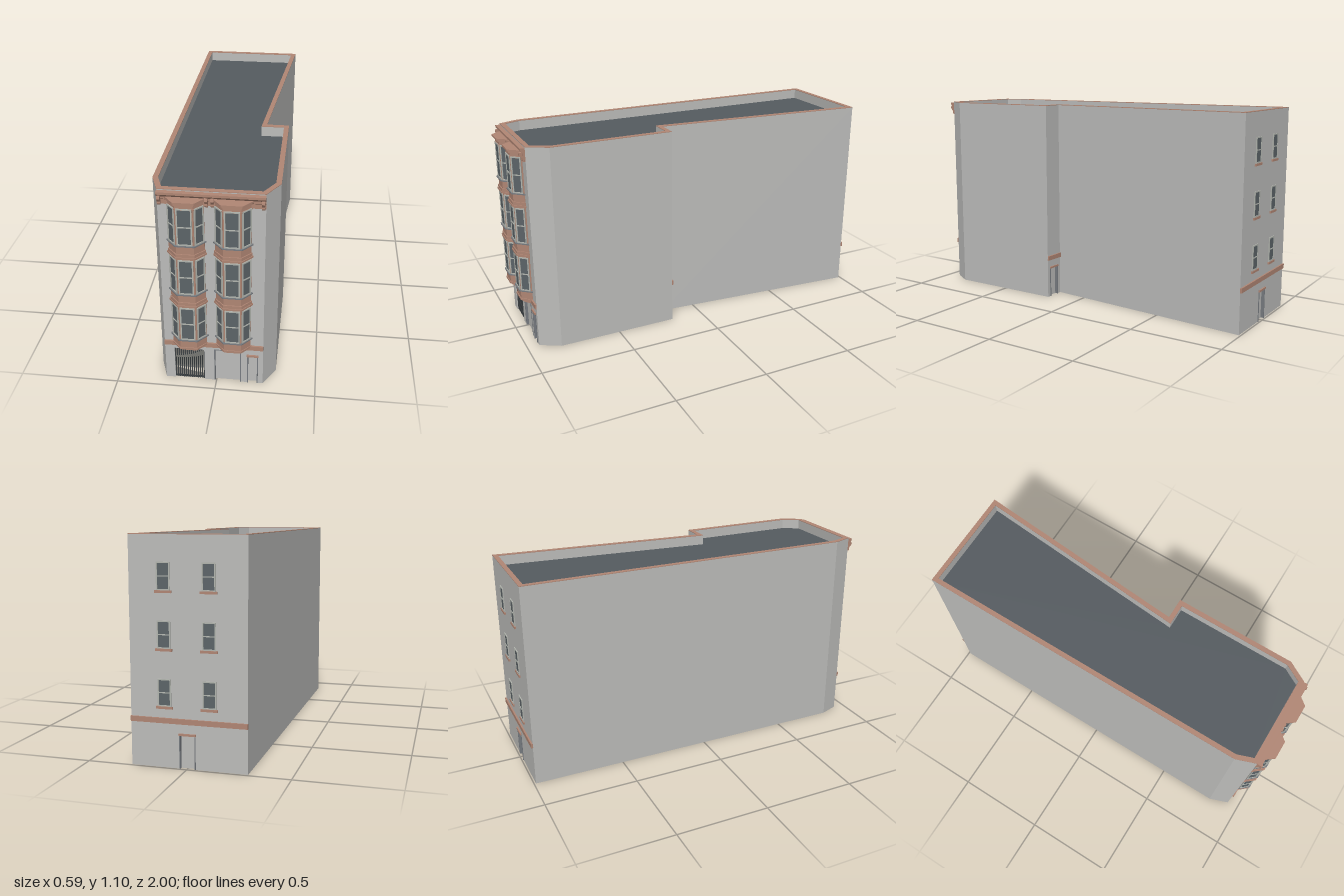
import * as THREE from 'three';

const mat = (name, color, side = THREE.FrontSide) => {
  const m = new THREE.MeshStandardMaterial({ color, side });
  m.name = name;
  return m;
};

export function createModel() {
  const wallMat = mat('pale stone', 0xbcbcba);
  const clay = mat('terracotta', 0xb08674);
  const glassMat = mat('window glass', 0x5c6468);
  const roofMat = mat('slate roof', 0x555b60);
  const trim = mat('window trim', 0xb2b5ae);
  const iron = mat('dark iron', 0x3c4144);
  const jambMat = mat('grey jamb', 0x777b80);

  const model = new THREE.Group();
  model.name = 'cornerTownhouse';
  const H = 1.095, T = 0.025, CAP = 0.003;

  const add = (parent, name, geometry, material) => {
    const m = new THREE.Mesh(geometry, material);
    m.name = name;
    parent.add(m);
    return m;
  };
  // box given by its minimum and maximum corners
  const box = (parent, name, material, x0, x1, y0, y1, z0, z1) => {
    const m = add(parent, name, new THREE.BoxGeometry(x1 - x0, y1 - y0, z1 - z0), material);
    m.position.set((x0 + x1) / 2, (y0 + y1) / 2, (z0 + z1) / 2);
    return m;
  };
  // horizontal slab from [x, z] points
  const planShape = pts => new THREE.Shape(pts.map(([x, z]) => new THREE.Vector2(x, -z)));
  const slab = (shape, y0, y1) => new THREE.ExtrudeGeometry(shape, { depth: y1 - y0, bevelEnabled: false })
    .rotateX(-Math.PI / 2).translate(0, y0, 0);
  // group whose local x runs from a to b and whose local z points outward
  const faceGroup = (parent, name, a, b) => {
    const g = new THREE.Group();
    g.name = name;
    g.position.set(a[0], 0, a[1]);
    g.rotation.y = Math.atan2(a[1] - b[1], b[0] - a[0]);
    parent.add(g);
    return g;
  };
  const rectPath = (x0, x1, y0, y1) => [[x0, y0], [x1, y0], [x1, y1], [x0, y1]].map(p => new THREE.Vector2(...p));

  // two-sash window on a face
  function sashWindow(face, cx, y0, w, h, b) {
    const g = new THREE.Group();
    g.name = 'sashWindow';
    g.position.set(cx, y0, 0);
    face.add(g);
    box(g, 'glass', glassMat, -w / 2 + 0.002, w / 2 - 0.002, 0.002, h - 0.002, -0.001, 0.002);
    const frame = new THREE.Shape(rectPath(-w / 2, w / 2, 0, h));
    frame.holes.push(new THREE.Path(rectPath(-w / 2 + b, w / 2 - b, b, h / 2 - b * 0.4)));
    frame.holes.push(new THREE.Path(rectPath(-w / 2 + b, w / 2 - b, h / 2 + b * 0.4, h - b)));
    add(g, 'sashFrame', new THREE.ExtrudeGeometry(frame, { depth: 0.005, bevelEnabled: false }), trim);
  }

  // panelled entrance set inside an opening, with a small hood
  function entrance(face, x0, x1, h) {
    const g = new THREE.Group();
    g.name = 'entrance';
    face.add(g);
    box(g, 'doorLeaf', wallMat, x0, x1, 0, h, -0.02, -0.014);
    box(g, 'leftJamb', jambMat, x0, x0 + 0.005, 0, h, -0.014, 0.003);
    box(g, 'rightJamb', jambMat, x1 - 0.005, x1, 0, h, -0.014, 0.003);
    box(g, 'hood', clay, x0 - 0.002, x1 + 0.002, h - 0.01, h, -0.014, 0.008);
  }

  // footprint, each wall running left to right seen from outside
  const P = [[-0.257, 0.935], [0.235, 0.935], [0.295, 0.83], [0.295, 0.18],
    [0.18, 0.18], [0.278, -0.99], [-0.295, -0.99], [-0.295, 0.83]];
  const N = P.length;
  const dirs = P.map((a, i) => {
    const b = P[(i + 1) % N], l = Math.hypot(b[0] - a[0], b[1] - a[1]);
    return [(b[0] - a[0]) / l, (b[1] - a[1]) / l, l];
  });
  const inset = t => P.map((p, i) => {
    const d = dirs[i], e = dirs[(i + N - 1) % N];
    const k = t / (1 + d[0] * e[0] + d[1] * e[1]);
    return [p[0] + k * (d[1] + e[1]), p[1] - k * (d[0] + e[0])];
  });
  const inner = inset(T);

  // mitred walls with doorway notches [start, end, height]
  const names = ['frontWall', 'leftChamfer', 'leftWall', 'stepWall', 'leftRearWall', 'backWall', 'rightWall', 'rightChamfer'];
  const notches = {
    0: [[0.047, 0.197, 0.19], [0.247, 0.382, 0.197], [0.412, 0.467, 0.18]],
    3: [[0.02, 0.09, 0.175]],
    5: [[0.24, 0.32, 0.17]],
  };
  const faces = P.map((a, i) => {
    const [ux, uz, L] = dirs[i], j = (i + 1) % N;
    const g = faceGroup(model, names[i], a, P[j]);
    const pts = [[0, 0]];
    for (const [s, e, h] of notches[i] || []) pts.push([s, 0], [s, h], [e, h], [e, 0]);
    pts.push([L, 0], [L, H - CAP], [0, H - CAP]);
    const geo = new THREE.ExtrudeGeometry(new THREE.Shape(pts.map(p => new THREE.Vector2(...p))),
      { depth: T, bevelEnabled: false }).translate(0, 0, -T);
    const m0 = (inner[i][0] - a[0]) * ux + (inner[i][1] - a[1]) * uz;
    const m1 = (inner[j][0] - P[j][0]) * ux + (inner[j][1] - P[j][1]) * uz;
    const pos = geo.attributes.position;
    for (let k = 0; k < pos.count; k++) {
      if (pos.getZ(k) > -T / 2) continue;
      const x = pos.getX(k);
      if (x < 1e-5) pos.setX(k, x + m0);
      else if (x > L - 1e-5) pos.setX(k, x + m1);
    }
    geo.computeVertexNormals();
    add(g, names[i] + 'Panel', geo, wallMat);
    return g;
  });

  // roof and parapet coping
  const coping = planShape(P);
  coping.holes.push(new THREE.Path(inner.map(([x, z]) => new THREE.Vector2(x, -z))));
  add(model, 'parapetCoping', slab(coping, H - CAP, H), clay);
  add(model, 'roof', slab(planShape(inset(T - 0.003)), 1.035, 1.04), roofMat);

  // string courses on the front, step and back walls
  for (const i of [0, 3, 5]) box(faces[i], 'stringCourse', clay, 0, dirs[i][2], 0.215, 0.24, -0.002, 0.0085);

  // ground floor of the front: barred gate, garage door, entrance
  const front = faces[0];
  const BARS = 15;
  for (let i = 0; i < BARS; i++) {
    const x = 0.05 + i * 0.144 / (BARS - 1);
    box(front, 'gateBar', iron, x - 0.0028, x + 0.0028, 0, 0.19, -0.014, -0.006);
  }
  for (const y of [0.004, 0.184]) box(front, 'gateRail', iron, 0.047, 0.197, y - 0.003, y + 0.003, -0.016, -0.008);
  box(front, 'garageDoor', wallMat, 0.247, 0.382, 0, 0.197, -0.02, -0.012);
  for (const x of [0.247, 0.377]) box(front, 'garageJamb', jambMat, x, x + 0.005, 0, 0.197, -0.012, 0.002);
  box(front, 'garageLintel', jambMat, 0.247, 0.382, 0.194, 0.198, -0.012, 0.002);
  entrance(front, 0.412, 0.467, 0.18);
  entrance(faces[3], 0.02, 0.09, 0.175);
  entrance(faces[5], 0.24, 0.32, 0.17);

  // back windows
  for (const u of [0.17, 0.39]) {
    for (const y of [0.295, 0.568, 0.838]) {
      sashWindow(faces[5], u, y, 0.066, 0.13, 0.006);
      box(faces[5], 'windowSill', clay, u - 0.041, u + 0.041, y - 0.012, y, -0.001, 0.008);
    }
  }

  // main cornice, a profile [out, y] run along the front
  const profile = [[-0.002, 1.022], [0.006, 1.022], [0.006, 1.045], [0.011, 1.05], [0.011, 1.062],
    [0.02, 1.072], [0.024, 1.076], [0.024, 1.088], [-0.002, 1.088]];
  const extrudeProfile = (pts, x0, x1) => new THREE.ExtrudeGeometry(
    new THREE.Shape(pts.map(([z, y]) => new THREE.Vector2(-z, y))), { depth: x1 - x0, bevelEnabled: false })
    .rotateY(Math.PI / 2).translate(x0, 0, 0);
  add(front, 'cornice', extrudeProfile(profile, 0, dirs[0][2]), clay);
  const bracket = [[0, 1.018], [0.01, 1.018], [0.015, 1.026], [0.014, 1.036], [0.024, 1.046],
    [0.03, 1.056], [0.028, 1.066], [0, 1.068]];
  for (const u of [0.004, 0.218, 0.246, 0.474]) add(front, 'corniceBracket', extrudeProfile(bracket, u, u + 0.014), clay);

  // bay windows
  const bayPlan = o => [[-0.084 - o, 0.93], [-0.084 - o, 0.938], [-0.041 - o * 0.5, 0.985 + o],
    [0.041 + o * 0.5, 0.985 + o], [0.084 + o, 0.938], [0.084 + o, 0.93]];
  function bay(cx) {
    const g = new THREE.Group();
    g.name = 'bayWindow';
    g.position.x = cx;
    model.add(g);
    const layer = (name, y0, y1, o, m = clay) => add(g, name, slab(planShape(bayPlan(o)), y0, y1), m);
    layer('bayBody', 0.24, 1.05, 0);
    layer('bayCorbel', 0.21, 0.22, -0.018);
    layer('bayCorbel', 0.22, 0.231, -0.008);
    layer('bayCorbel', 0.231, 0.242, 0.004);
    layer('bayCrown', 1.018, 1.026, 0.003);
    layer('bayCrown', 1.044, 1.053, 0.008);
    layer('bayCrown', 1.053, 1.063, 0.0145);
    const p = bayPlan(0);
    const sides = [1, 2, 3].map(i => [faceGroup(g, 'bayFace', p[i], p[i + 1]),
      Math.hypot(p[i + 1][0] - p[i][0], p[i + 1][1] - p[i][1])]);
    for (let f = 0; f < 3; f++) {
      const b = 0.285 + 0.272 * f;
      layer('baySill', b, b + 0.006, 0.009, jambMat);
      if (f) {
        layer('spandrelMoulding', b - 0.067, b - 0.058, 0.009);
        layer('spandrelMoulding', b - 0.058, b - 0.042, 0.005);
      }
      for (const [face, w] of sides) sashWindow(face, w / 2, b + 0.006, w - 0.01, 0.191, 0.0065);
    }
  }
  bay(-0.128);
  bay(0.088);
  return model;
}
